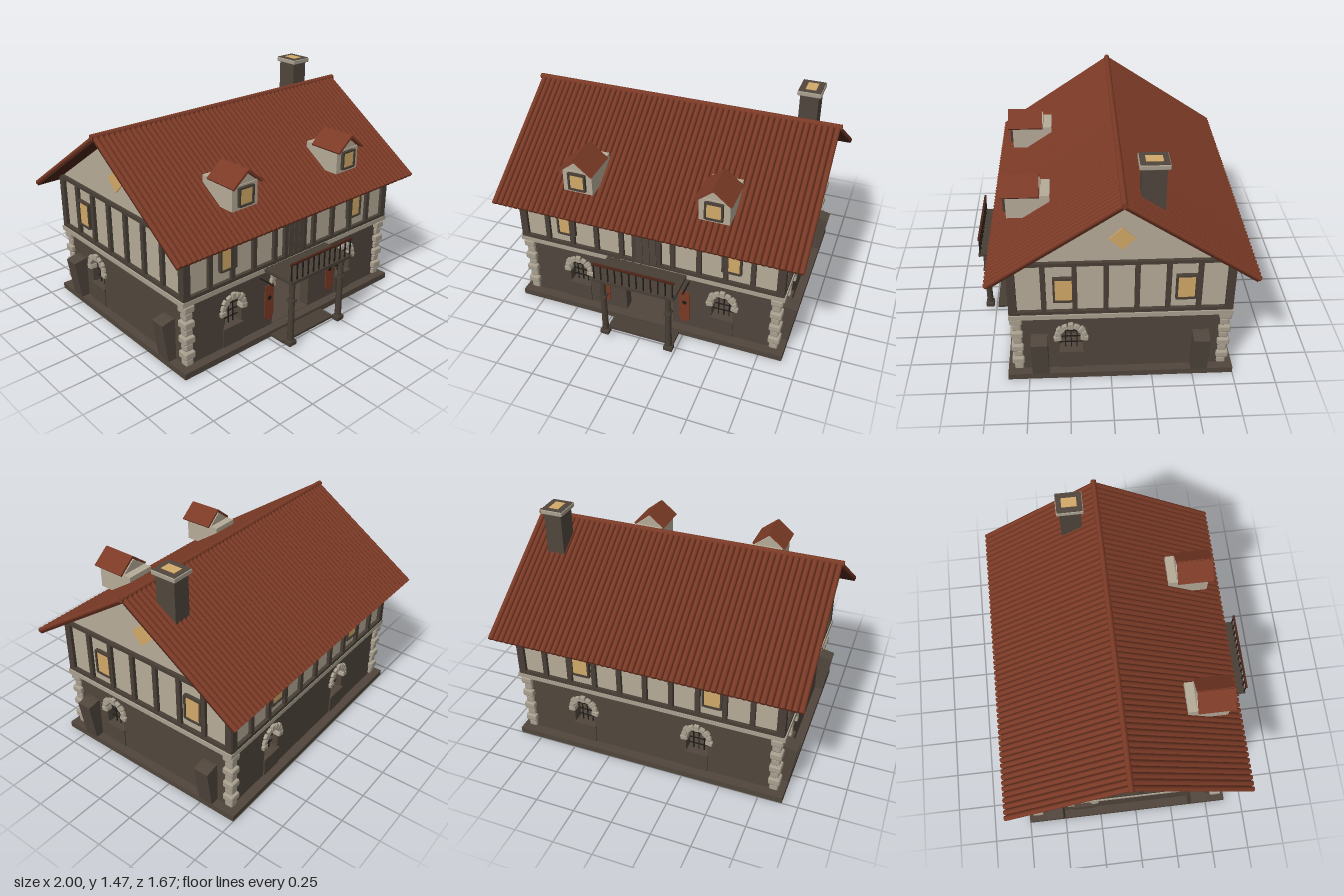
import * as THREE from 'three';
import { mergeGeometries } from 'three/addons/utils/BufferGeometryUtils.js';
import { RoundedBoxGeometry } from 'three/addons/geometries/RoundedBoxGeometry.js';

const mat = (name, color) => Object.assign(new THREE.MeshStandardMaterial({ color }), { name });
const M = {
  plaster: mat('plaster', 0xb6ab98), stone: mat('wallStone', 0x50463c), pale: mat('paleStone', 0xa9a08f),
  timber: mat('timber', 0x483f36), roof: mat('roofTile', 0x7b3a26), under: mat('roofUnderside', 0x4c2418),
  glow: mat('lampLight', 0xd2a968), iron: mat('iron', 0x1f1c19), cloth: mat('redCloth', 0x793a25),
};
const CZ = -0.06; // centre of the house in z

function add(parent, name, geo, material, x = 0, y = 0, z = 0) {
  const m = new THREE.Mesh(geo, material);
  m.name = name;
  m.position.set(x, y, z);
  parent.add(m);
  return m;
}
const box = (p, name, material, w, h, d, x, y, z) => add(p, name, new THREE.BoxGeometry(w, h, d), material, x, y, z);
function group(parent, name, x = 0, y = 0, z = 0, ry = 0) {
  const g = new THREE.Group();
  g.name = name;
  g.position.set(x, y, z);
  g.rotation.y = ry;
  parent.add(g);
  return g;
}

// Arched opening: o = { x, w (half width), y0, spring, rise }
function archPath(o) {
  const p = new THREE.Path();
  p.moveTo(o.x - o.w, o.y0);
  p.lineTo(o.x + o.w, o.y0);
  p.lineTo(o.x + o.w, o.spring);
  p.absellipse(o.x, o.spring, o.w, o.rise, 0, Math.PI, false);
  p.lineTo(o.x - o.w, o.y0);
  return p;
}

// Stone blocks following an arch
function archStones(parent, o, n) {
  for (let i = 0; i < n; i++) {
    const a = -0.15 + (Math.PI + 0.3) * i / (n - 1);
    const long = i % 2 ? 0.034 : 0.046;
    const s = add(parent, 'archStone', new RoundedBoxGeometry(long, 0.034, 0.05, 1, 0.006), M.pale,
      o.x + Math.cos(a) * (o.w + 0.012), o.spring + Math.sin(a) * (o.rise + 0.012), -0.005);
    s.rotation.z = Math.atan2(Math.sin(a) * o.w, Math.cos(a) * o.rise);
  }
}

// Iron bars set in an arched window, with the panel below it
function grille(parent, o) {
  const top = o.spring + o.rise;
  for (const dx of [-0.035, 0, 0.035])
    box(parent, 'windowBar', M.iron, 0.006, top - o.y0, 0.006, o.x + dx, (top + o.y0) / 2, -0.04);
  for (const y of [0.21, 0.255, 0.3]) box(parent, 'windowBar', M.iron, o.w * 2, 0.006, 0.006, o.x, y, -0.04);
  box(parent, 'panelUnderWindow', M.stone, o.w * 2 + 0.01, 0.125, 0.016, o.x, 0.105, 0);
  box(parent, 'windowSill', M.stone, o.w * 2 + 0.015, 0.012, 0.03, o.x, 0.168, 0);
}

// Lit window in a timber frame
function litWindow(parent, x, y, w, h, z) {
  box(parent, 'windowGlow', M.glow, w, h, 0.008, x, y, z + 0.006);
  for (const s of [-1, 1]) {
    box(parent, 'windowFrame', M.timber, 0.012, h + 0.02, 0.024, x + s * (w / 2 + 0.006), y, z + 0.006);
    box(parent, 'windowFrame', M.timber, w, 0.012, 0.024, x, y + s * (h / 2 + 0.006), z + 0.006);
  }
}

// One side of the house, built facing +z with its outer lower wall at z = 0
function facade(parent, name, f) {
  const g = group(parent, name, f.x, 0, f.z, f.ry);
  const half = f.half;
  const s = new THREE.Shape([[-half, 0.03], [half, 0.03], [half, 0.465], [-half, 0.465]].map(p => new THREE.Vector2(...p)));
  const windows = f.windows.map(x => ({ x, w: 0.07, y0: 0.17, spring: 0.295, rise: 0.07 }));
  const openings = f.door ? [...windows, f.door] : windows;
  openings.forEach(o => s.holes.push(archPath(o)));
  add(g, 'lowerWall', new THREE.ExtrudeGeometry(s, { depth: 0.07, bevelEnabled: false, curveSegments: 10 }), M.stone, 0, 0, -0.07);
  windows.forEach(o => { archStones(g, o, 9); grille(g, o); });
  if (f.door) archStones(g, f.door, 13);

  // Half-timbered upper wall
  const n = f.posts;
  for (let i = 0; i <= n; i++) {
    const edge = i === 0 || i === n;
    const x = (i / n * 2 - 1) * (half + 0.003);
    box(g, 'timberPost', M.timber, edge ? 0.046 : 0.03, 0.37, 0.03, x, 0.675, 0.014);
  }
  box(g, 'timberSill', M.timber, half * 2 + 0.05, 0.022, 0.032, 0, 0.501, 0.015);
  box(g, 'timberPlate', M.timber, half * 2 + 0.05, 0.022, 0.032, 0, 0.85, 0.015);
  f.lit.forEach(x => litWindow(g, x, 0.665, 0.1, 0.15, 0.014));
  return g;
}

// Corrugated roof slope running down towards +z from the ridge
function roofSlope(parent, ry) {
  const g = group(parent, 'roofSlope', 0, 1.312, CZ, ry);
  const tilt = group(g, 'tiles');
  tilt.rotation.x = Math.atan2(0.52, 0.77);
  const L = 0.925, n = 55, step = 1.95 / (n - 1), ribs = [];
  for (let i = 0; i < n; i++)
    ribs.push(new THREE.CylinderGeometry(0.0165, 0.0165, L, 8).rotateX(Math.PI / 2).translate(-0.975 + i * step, 0, L / 2));
  add(tilt, 'tileRibs', mergeGeometries(ribs), M.roof);
  box(tilt, 'roofBoards', M.under, 1.97, 0.02, L - 0.01, 0, -0.012, L / 2);
}

// Prism with a triangular section, extruded along z
function gablePrism(w, h, d) {
  const s = new THREE.Shape([new THREE.Vector2(-w, 0), new THREE.Vector2(w, 0), new THREE.Vector2(0, h)]);
  return new THREE.ExtrudeGeometry(s, { depth: d, bevelEnabled: false });
}

function dormer(parent, x) {
  const g = group(parent, 'dormer', x, 0, 0);
  box(g, 'dormerWall', M.plaster, 0.19, 0.15, 0.26, 0, 1.015, 0.475);
  add(g, 'dormerGable', gablePrism(0.093, 0.075, 0.2), M.plaster, 0, 1.088, 0.4);
  litWindow(g, 0, 1.02, 0.09, 0.095, 0.606);
  for (const s of [-1, 1]) {
    const r = box(g, 'dormerRoof', M.roof, 0.143, 0.014, 0.23, s * 0.055, 1.132, 0.52);
    r.rotation.z = -s * 0.68;
  }
}

function balcony(parent) {
  const g = group(parent, 'balcony');
  box(g, 'balconyFloor', M.timber, 0.53, 0.02, 0.27, 0, 0.478, 0.695);
  box(g, 'balconyRail', M.under, 0.53, 0.012, 0.014, 0, 0.6, 0.82);
  for (let i = 0; i <= 11; i++)
    box(g, 'baluster', M.iron, 0.007, 0.115, 0.007, -0.255 + i * 0.51 / 11, 0.542, 0.82);
  for (const s of [-1, 1]) {
    add(g, 'column', new THREE.CylinderGeometry(0.018, 0.021, 0.41, 10), M.timber, s * 0.215, 0.255, 0.79);
    add(g, 'columnFoot', new RoundedBoxGeometry(0.06, 0.035, 0.055, 1, 0.008), M.timber, s * 0.215, 0.04, 0.79);
    box(g, 'columnCollar', M.timber, 0.046, 0.014, 0.046, s * 0.215, 0.335, 0.79);
  }
  box(g, 'doorStep', M.timber, 0.45, 0.016, 0.19, 0, 0.012, 0.645);
}

function banner(parent, s) {
  const g = group(parent, 'banner', s * 0.27, 0, 0.65);
  const pts = [[-0.035, 0.4], [-0.035, 0.185], [-0.012, 0.155], [0.012, 0.155], [0.035, 0.185], [0.035, 0.4]];
  const shape = new THREE.Shape(pts.map(p => new THREE.Vector2(...p)));
  add(g, 'bannerCloth', new THREE.ExtrudeGeometry(shape, { depth: 0.006, bevelEnabled: false }), M.cloth);
  add(g, 'bannerDot', new THREE.CylinderGeometry(0.015, 0.015, 0.009, 16).rotateX(Math.PI / 2), M.iron, 0, 0.312, 0.003);
  box(g, 'bannerRod', M.iron, 0.008, 0.008, 0.13, 0, 0.409, -0.025);
}

export function createModel() {
  const house = new THREE.Group();
  house.name = 'house';

  // Base, floors and cornice
  box(house, 'base', M.stone, 1.8, 0.04, 1.38, 0, 0.02, CZ);
  box(house, 'cornice', M.pale, 1.765, 0.03, 1.325, 0, 0.473, CZ);

  // Four sides
  const front = facade(house, 'frontSide', {
    x: 0, z: 0.57, ry: 0, half: 0.845, posts: 10, windows: [-0.49, 0.49], lit: [-0.545, 0.545],
    door: { x: 0, w: 0.162, y0: 0.042, spring: 0.35, rise: 0.085 },
  });
  facade(house, 'backSide', { x: 0, z: -0.69, ry: Math.PI, half: 0.845, posts: 10, windows: [-0.44, 0.33], lit: [-0.43, 0.43] });
  const right = facade(house, 'plusXSide', { x: 0.845, z: CZ, ry: Math.PI / 2, half: 0.63, posts: 7, windows: [-0.3], lit: [-0.335, 0.375] });
  const left = facade(house, 'minusXSide', { x: -0.845, z: CZ, ry: -Math.PI / 2, half: 0.63, posts: 7, windows: [-0.3], lit: [-0.375] });
  box(house, 'upperWalls', M.plaster, 1.706, 0.38, 1.276, 0, 0.675, CZ);

  // Leaning buttresses and diamond windows on the gable ends
  for (const g of [right, left]) {
    for (const x of [-0.49, 0.48]) {
      const s = new THREE.Shape([[-0.02, 0.04], [0.055, 0.04], [0.093, 0.3], [0.02, 0.315], [-0.02, 0.315]].map(p => new THREE.Vector2(...p)));
      const b = add(g, 'buttress', new THREE.ExtrudeGeometry(s, { depth: 0.1, bevelEnabled: false }), M.stone, x + 0.05, 0, 0);
      b.rotation.y = -Math.PI / 2;
    }
    const d = box(g, 'diamondWindow', M.glow, 0.105, 0.105, 0.009, 0, 1.01, 0.011);
    d.rotation.z = Math.PI / 4;
  }

  // Corner stones, alternating long and short
  for (const sx of [-1, 1]) for (const sz of [-1, 1]) for (let i = 0; i < 8; i++) {
    const a = i % 2 ? 0.075 : 0.055;
    const out = i % 2 ? 0.026 : 0.014;
    add(house, 'cornerStone', new RoundedBoxGeometry(a, 0.047, a, 1, 0.01), M.pale,
      sx * (0.845 + out - a / 2), 0.068 + i * 0.0515, CZ + sz * (0.63 + out + 0.005 - a / 2));
  }

  // Balcony door
  box(front, 'balconyDoorFrame', M.timber, 0.19, 0.32, 0.03, 0, 0.66, 0.016);
  for (let i = -1; i <= 1; i++) box(front, 'balconyDoorPlank', M.stone, 0.042, 0.28, 0.008, i * 0.045, 0.65, 0.033);

  // Bench and stairs inside the hall
  box(house, 'bench', M.timber, 0.12, 0.012, 0.05, -0.1, 0.085, 0.3);
  for (const x of [-0.15, -0.05]) box(house, 'benchLeg', M.timber, 0.012, 0.04, 0.045, x, 0.06, 0.3);
  for (let i = 0; i < 9; i++) box(house, 'stairTread', M.timber, 0.2, 0.018, 0.06, 0.62, 0.08 + i * 0.043, 0.38 - i * 0.045);

  // Gable, roof, ridge and dormers
  add(house, 'gable', gablePrism(0.65, 0.435, 1.706).rotateY(Math.PI / 2), M.plaster, -0.853, 0.86, CZ);
  roofSlope(house, 0);
  roofSlope(house, Math.PI);
  add(house, 'ridgeTile', new THREE.CylinderGeometry(0.018, 0.018, 2, 10).rotateZ(Math.PI / 2), M.roof, 0, 1.315, CZ);
  for (const s of [-1, 1]) {
    dormer(house, s * 0.43);
    banner(house, s);
  }
  balcony(house);

  // Chimney
  const c = group(house, 'chimney', 0.77, 0, -0.23);
  box(c, 'chimneyStack', M.stone, 0.115, 0.3, 0.135, 0, 1.29, 0);
  add(c, 'chimneyCap', new RoundedBoxGeometry(0.148, 0.03, 0.17, 1, 0.006), M.pale, 0, 1.447, 0);
  box(c, 'chimneyTop', M.stone, 0.138, 0.006, 0.16, 0, 1.461, 0);
  box(c, 'chimneyGlow', M.glow, 0.065, 0.006, 0.095, 0, 1.463, 0);
  return house;
}
